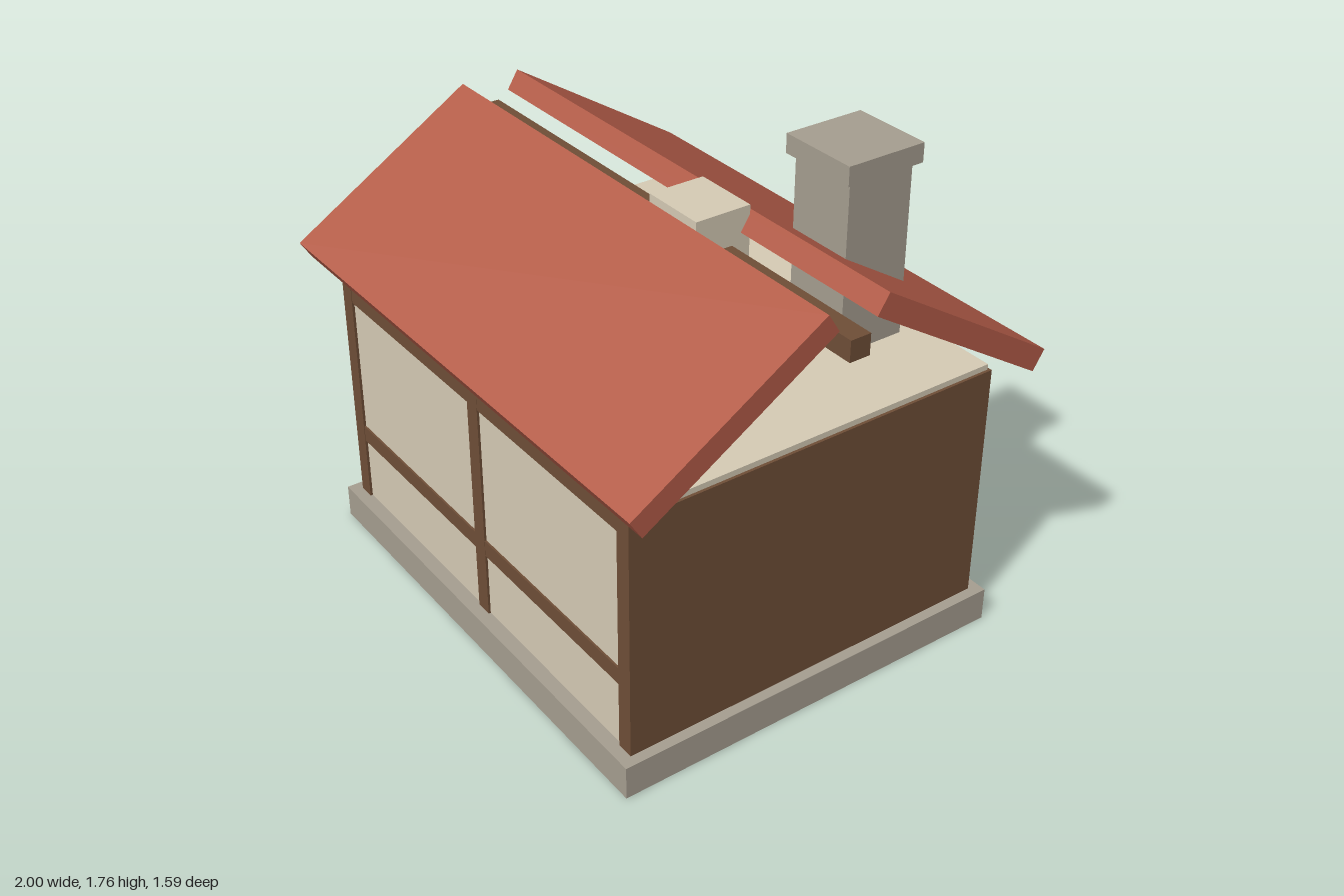
import * as THREE from 'three';

const mat = (color) => new THREE.MeshStandardMaterial({ color });

export function createModel() {
  const house = new THREE.Group();
  house.name = 'cottage';
  const stone = mat(0xa69e90), cream = mat(0xd6cbb5), timber = mat(0x6f4e37);
  const tile = mat(0xb35c48), doorWood = mat(0x7a4a30), glass = mat(0xdcbb6c);
  const gold = mat(0xd4a52f), pink = mat(0xd4607f), white = mat(0xf0ece4);
  const ZC = 0.015; // the building's middle in depth

  // Box given by its minimum and maximum corners
  function box(name, material, x0, x1, y0, y1, z0, z1, parent = house) {
    const mesh = new THREE.Mesh(new THREE.BoxGeometry(x1 - x0, y1 - y0, z1 - z0), material);
    mesh.position.set((x0 + x1) / 2, (y0 + y1) / 2, (z0 + z1) / 2);
    mesh.name = name;
    parent.add(mesh);
    return mesh;
  }
  function ball(name, material, r, x, y, z, parent = house) {
    const mesh = new THREE.Mesh(new THREE.SphereGeometry(r, 12, 8), material);
    mesh.position.set(x, y, z);
    mesh.name = name;
    parent.add(mesh);
  }

  // Base and plastered walls
  box('foundation', stone, -0.895, 0.895, 0, 0.12, ZC - 0.738, ZC + 0.738);
  box('walls', cream, -0.848, 0.848, 0.12, 1.01, ZC - 0.687, ZC + 0.687);

  // Timber: side panels plus posts and rails running through the walls
  for (const s of [-1, 1]) {
    const side = box('sideTimber', timber, -0.03, 0.03, 0.12, 0.99, ZC - 0.696, ZC + 0.696);
    side.position.x = s * 0.828;
    const z = ZC + s * 0.685;
    box('middlePost', timber, -0.03, 0.03, 0.12, 0.99, z - 0.01, z + 0.01);
    for (const y of [0.36, 0.925]) {
      box('rail', timber, -0.8, 0.8, y, y + 0.06, z - 0.009, z + 0.009);
    }
  }

  // Two tilted roof slabs with an open ridge
  for (const s of [-1, 1]) {
    const slab = new THREE.Mesh(new THREE.BoxGeometry(1.974, 0.078, 0.79), tile);
    slab.position.set(0, 1.278, ZC + s * 0.425);
    slab.rotation.x = s * 0.56;
    slab.name = 'roofSlab';
    house.add(slab);
  }
  box('ridgeBeam', timber, -1, 1, 1.347, 1.42, ZC - 0.037, ZC + 0.037);

  // Small dormer on the ridge
  box('dormer', cream, 0.12, 0.36, 1.34, 1.54, -0.089, 0.115);
  box('dormerWindow', glass, 0.14, 0.34, 1.39, 1.525, -0.106, -0.08);

  // Chimney
  box('chimney', stone, 0.42, 0.667, 1.115, 1.705, -0.453, -0.21);
  box('chimneyCap', stone, 0.4, 0.687, 1.7, 1.765, -0.476, -0.187);

  // Door on the back wall
  box('door', doorWood, -0.2, 0.2, 0.12, 0.68, -0.705, -0.66);
  box('doorLintel', timber, -0.24, 0.24, 0.67, 0.73, -0.718, -0.66);
  ball('doorKnob', gold, 0.021, 0.135, 0.35, -0.712);

  // Windows with glazing bars and flower boxes
  for (const cx of [-0.543, 0.543]) {
    const win = new THREE.Group();
    win.name = 'window';
    win.position.x = cx;
    house.add(win);
    box('pane', glass, -0.155, 0.155, 0.555, 0.875, -0.702, -0.66, win);
    box('uprightBar', timber, -0.022, 0.022, 0.54, 0.893, -0.711, -0.67, win);
    box('crossBar', timber, -0.185, 0.185, 0.695, 0.735, -0.711, -0.67, win);
    box('flowerBox', timber, -0.172, 0.172, 0.498, 0.565, -0.793, -0.67, win);
    [pink, white, gold, pink].forEach((m, i) =>
      ball('flower', m, 0.027, 0.124 - i * 0.0827, 0.588, -0.755, win));
  }
  return house;
}
